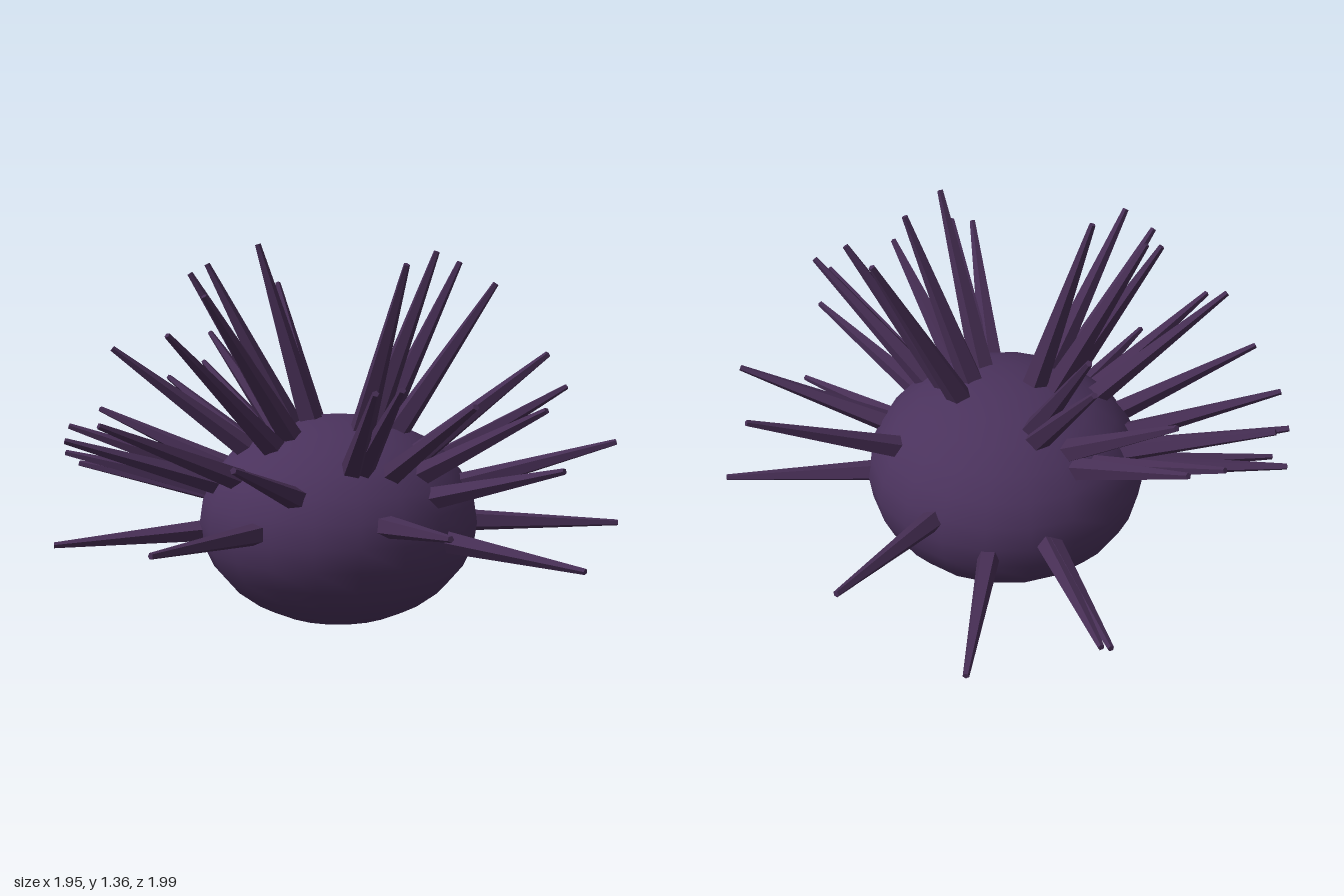
import * as THREE from 'three';

const CENTER = new THREE.Vector3(-0.045, 0.38, -0.005);

// Tip position of each spine; all spines radiate from the body's centre.
const UPPER_TIPS = [
  [-0.25, 1.36, 0.19], [-0.385, 1.29, 0.31], [-0.395, 1.26, 0.38], [-0.63, 1.185, -0.25],
  [-0.69, 1.115, -0.29], [-0.065, 1.21, 0.59], [-0.09, 1.09, 0.725], [0.15, 1.29, -0.43],
  [0.265, 1.34, -0.175], [0.37, 1.31, 0.09], [0.41, 1.23, -0.32], [0.725, 1.02, -0.21],
  [0.68, 0.96, 0.44], [0.625, 0.95, 0.5], [-0.49, 1.01, 0.65], [-0.865, 0.985, -0.1],
];
const MIDDLE_TIPS = [
  [0.8, 0.9, 0.24], [0.855, 0.865, -0.04], [0.93, 0.68, -0.04], [0.765, 0.69, -0.555],
  [0.32, 0.81, -0.86], [0.38, 0.73, 0.855], [-0.225, 0.8, 0.905], [-0.5, 0.71, 0.85],
  [-0.75, 0.71, 0.66], [-0.82, 0.6, 0.63], [-0.9, 0.73, 0.415], [-0.945, 0.86, -0.13],
  [-0.97, 0.81, 0.03],
];
const LOWER_TIPS = [
  [0.97, 0.35, -0.11], [0.865, 0.53, 0.425], [0.65, 0.355, -0.745], [0.145, 0.45, 0.99],
  [-0.66, 0.31, 0.8], [-0.9, 0.535, 0.515], [-0.95, 0.375, -0.47], [-0.935, 0.39, -0.5],
  [-0.66, 0.305, -0.82], [-0.27, 0.515, -1.0],
];

// Tapered faceted spine from inside the body out to its tip
function makeSpine(tip, material) {
  const end = new THREE.Vector3(...tip);
  const dir = end.clone().sub(CENTER).normalize();
  const start = CENTER.clone().addScaledVector(dir, 0.33);
  const length = start.distanceTo(end);
  const spine = new THREE.Mesh(new THREE.CylinderGeometry(0.011, 0.048, length, 5), material);
  spine.name = 'spine';
  spine.position.copy(start).lerp(end, 0.5);
  spine.quaternion.setFromUnitVectors(new THREE.Vector3(0, 1, 0), dir);
  return spine;
}

export function createModel() {
  const model = new THREE.Group();
  model.name = 'seaUrchin';

  const shellMaterial = new THREE.MeshStandardMaterial({ color: 0x4a325c });
  shellMaterial.name = 'shell purple';
  const spineMaterial = new THREE.MeshStandardMaterial({ color: 0x462e54 });
  spineMaterial.name = 'spine purple';
  spineMaterial.flatShading = true;

  // Squashed round shell
  const shell = new THREE.Mesh(new THREE.SphereGeometry(0.5, 20, 14), shellMaterial);
  shell.name = 'shell';
  shell.scale.y = 0.745;
  shell.position.copy(CENTER);
  model.add(shell);

  // Three bands of spines
  const bands = { upperSpines: UPPER_TIPS, middleSpines: MIDDLE_TIPS, lowerSpines: LOWER_TIPS };
  for (const [name, tips] of Object.entries(bands)) {
    const band = new THREE.Group();
    band.name = name;
    for (const tip of tips) band.add(makeSpine(tip, spineMaterial));
    model.add(band);
  }
  return model;
}
